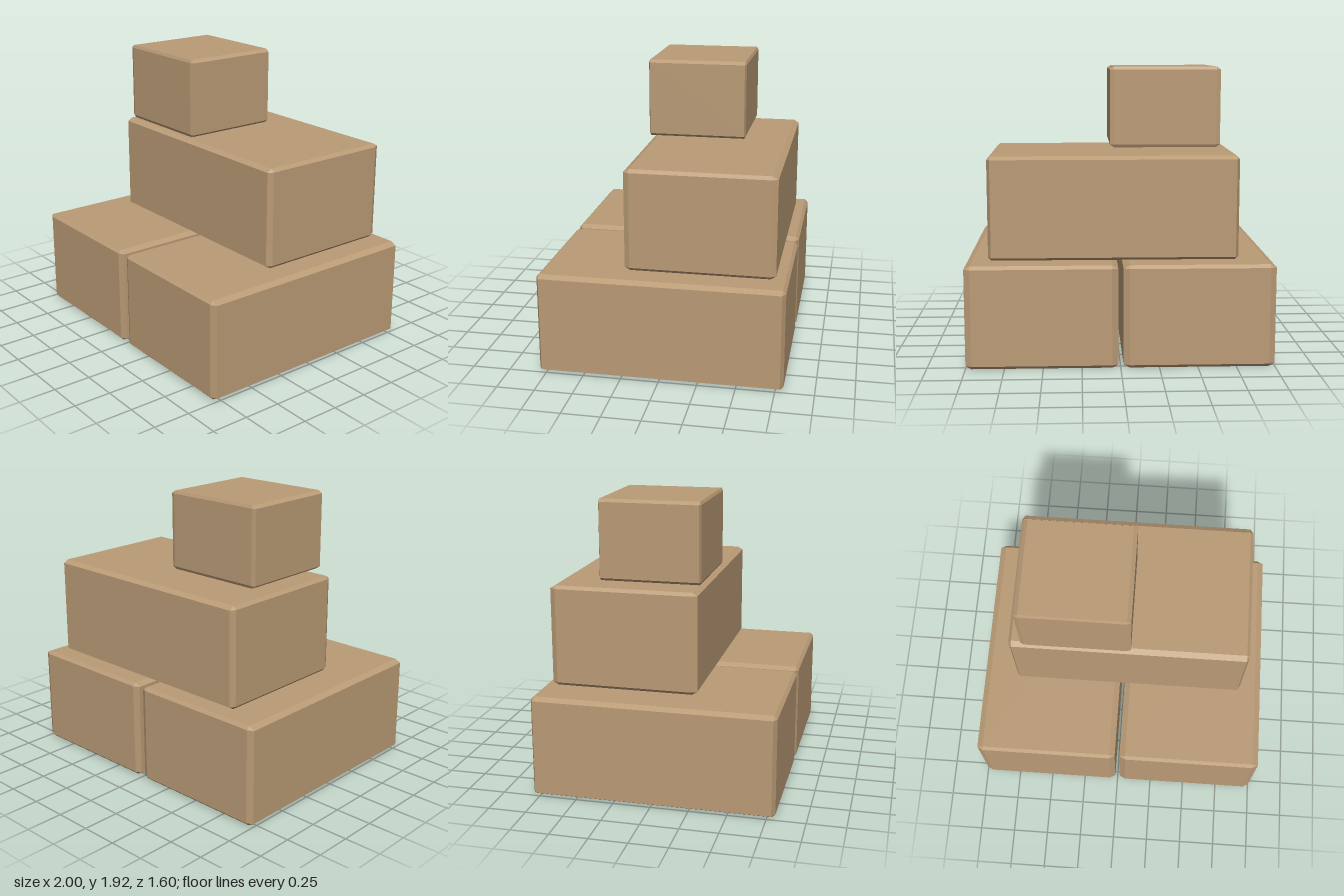
import * as THREE from 'three';
import { ConvexGeometry } from 'three/addons/geometries/ConvexGeometry.js';

// Box with chamfered edges; the inset can differ on each axis.
function chamferedBox(size, inset) {
  const [x, y, z] = size.map((s) => s / 2);
  const [a, b, c] = inset;
  const points = [];
  for (const i of [-1, 1]) for (const j of [-1, 1]) for (const k of [-1, 1]) {
    points.push(
      new THREE.Vector3(i * x, j * (y - b), k * (z - c)),
      new THREE.Vector3(i * (x - a), j * y, k * (z - c)),
      new THREE.Vector3(i * (x - a), j * (y - b), k * z),
    );
  }
  return new ConvexGeometry(points);
}

export function createModel() {
  const group = new THREE.Group();
  const cardboard = new THREE.MeshStandardMaterial({ color: 0xba9b76 });
  cardboard.name = 'cardboard';

  function addBox(name, min, max, inset) {
    const size = max.map((v, i) => v - min[i]);
    const mesh = new THREE.Mesh(chamferedBox(size, inset), cardboard);
    mesh.name = name;
    mesh.position.set(...max.map((v, i) => (v + min[i]) / 2));
    group.add(mesh);
  }

  // Two boxes side by side at the bottom
  addBox('baseBoxRight', [-1, 0, -0.802], [-0.018, 0.675, 0.802], [0.04, 0.021, 0.021]);
  addBox('baseBoxLeft', [0.016, 0, -0.802], [1, 0.675, 0.802], [0.04, 0.021, 0.021]);
  // One box laid across them
  addBox('middleBox', [-0.765, 0.692, -0.725], [0.85, 1.365, 0.25], [0.021, 0.021, 0.036]);
  // Small box on top
  addBox('topBox', [-0.673, 1.392, -0.42], [0.058, 1.922, 0.252], [0.027, 0.019, 0.01]);

  return group;
}
